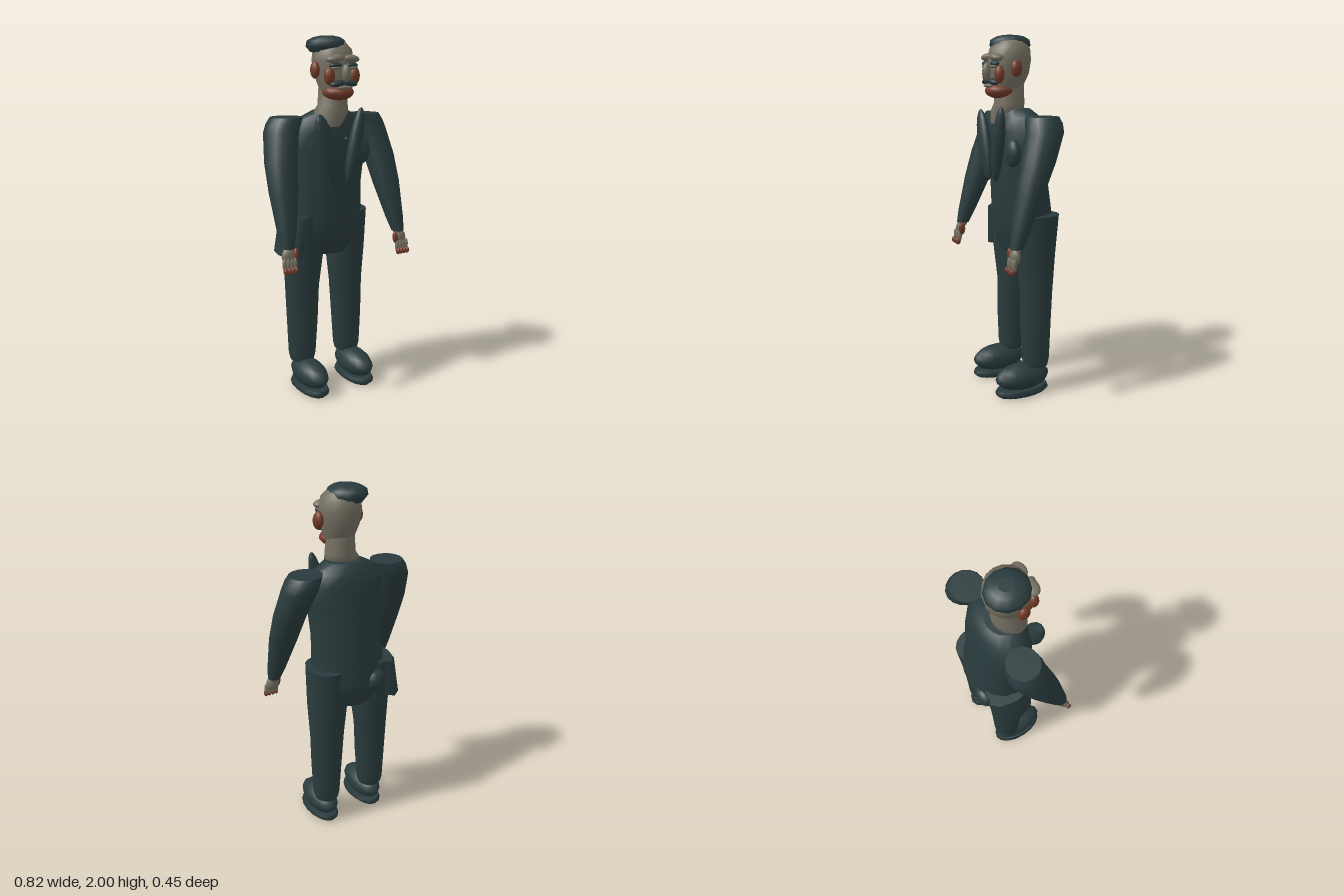
import * as THREE from 'three';

const cloth = new THREE.MeshStandardMaterial({ color: 0x2a3b3d, name: 'dark cloth' });
const skin = new THREE.MeshStandardMaterial({ color: 0x757062, name: 'grey skin' });
const rust = new THREE.MeshStandardMaterial({ color: 0x733a28, name: 'rust' });

// Smooth body through elliptical rings [y, cx, cz, rx, rz], listed bottom to top, with flat caps
function loft(rings, sides = 16) {
  const pos = [], idx = [];
  const addRing = ([y, cx, cz, rx, rz]) => {
    const start = pos.length / 3;
    for (let i = 0; i < sides; i++) {
      const a = (i / sides) * Math.PI * 2;
      pos.push(cx + rx * Math.sin(a), y, cz + rz * Math.cos(a));
    }
    return start;
  };
  rings.forEach(addRing);
  for (let j = 0; j < rings.length - 1; j++) {
    for (let i = 0; i < sides; i++) {
      const n = (i + 1) % sides;
      const a = j * sides + i, b = j * sides + n;
      idx.push(a, b, b + sides, a, b + sides, a + sides);
    }
  }
  [rings[0], rings[rings.length - 1]].forEach((ring, top) => {
    const s = addRing(ring), c = pos.length / 3;
    pos.push(ring[1], ring[0], ring[2]);
    for (let i = 0; i < sides; i++) {
      const a = s + i, b = s + ((i + 1) % sides);
      if (top) idx.push(c, a, b); else idx.push(c, b, a);
    }
  });
  const g = new THREE.BufferGeometry();
  g.setAttribute('position', new THREE.Float32BufferAttribute(pos, 3));
  g.setIndex(idx);
  g.computeVertexNormals();
  return g;
}

function add(group, name, geometry, material) {
  const mesh = new THREE.Mesh(geometry, material);
  mesh.name = name;
  group.add(mesh);
  return mesh;
}

function blob(group, name, material, center, radii, rotZ = 0, segments = 14) {
  const mesh = add(group, name, new THREE.SphereGeometry(1, segments, 10), material);
  mesh.position.set(...center);
  mesh.scale.set(...radii);
  mesh.rotation.z = rotZ;
  return mesh;
}

// Same rings on either side of the body
const sided = (rings, s) => rings.map(([y, cx, ...rest]) => [y, cx * s, ...rest]);

function buildTorso(g) {
  add(g, 'jacket', loft([
    [0.81, 0, -0.06, 0.13, 0.12], [0.87, 0, -0.06, 0.18, 0.145], [0.95, 0, -0.055, 0.21, 0.16],
    [1.04, 0, -0.045, 0.215, 0.158], [1.2, 0, -0.03, 0.205, 0.15], [1.4, 0, -0.018, 0.225, 0.143],
    [1.5, 0, -0.015, 0.22, 0.13], [1.57, 0, -0.015, 0.18, 0.115], [1.61, 0, 0, 0.1, 0.085],
  ]), cloth);
  // lapels
  blob(g, 'rightLapel', cloth, [-0.095, 1.41, 0.135], [0.056, 0.2, 0.034], 0.27, 12);
  blob(g, 'leftLapel', cloth, [0.077, 1.425, 0.135], [0.04, 0.208, 0.034], -0.2, 12);
  // chest details
  blob(g, 'button', cloth, [0.03, 1.46, 0.126], [0.014, 0.014, 0.012], 0, 8);
  blob(g, 'chestPocket', cloth, [0.15, 1.385, 0.082], [0.055, 0.075, 0.04], 0, 10);
  // skewed jacket tail over the right hip
  add(g, 'jacketTail', loft([
    [0.81, -0.225, -0.07, 0.07, 0.13], [1.04, -0.19, -0.065, 0.062, 0.14],
  ], 8), cloth);
  blob(g, 'backPouch', cloth, [-0.1, 0.94, -0.185], [0.07, 0.065, 0.046], 0, 10);
}

function buildHead(g) {
  add(g, 'neck', loft([
    [1.53, -0.035, 0.06, 0.06, 0.06], [1.6, -0.015, 0.035, 0.1, 0.088],
    [1.64, 0, 0.03, 0.083, 0.084], [1.75, 0, 0.03, 0.075, 0.08],
  ]), skin);
  add(g, 'skull', loft([
    [1.67, 0, 0.065, 0.05, 0.06], [1.72, 0, 0.05, 0.08, 0.09], [1.8, 0, 0.035, 0.1, 0.115],
    [1.87, 0, 0.03, 0.112, 0.12], [1.93, 0, 0.025, 0.105, 0.11], [1.97, 0, 0.02, 0.07, 0.075],
  ]), skin);
  // low-sided cap of hair, set off to one side
  add(g, 'hair', loft([
    [1.915, -0.03, 0.01, 0.08, 0.09], [1.945, -0.03, 0.01, 0.106, 0.113],
    [1.975, -0.03, 0.01, 0.1, 0.108], [1.993, -0.025, 0.01, 0.07, 0.075], [2, -0.025, 0.01, 0.035, 0.04],
  ], 12), cloth);
  // face
  blob(g, 'beard', rust, [0, 1.708, 0.085], [0.086, 0.043, 0.083]);
  blob(g, 'lips', skin, [0, 1.735, 0.156], [0.045, 0.011, 0.016]);
  blob(g, 'nose', skin, [0, 1.81, 0.162], [0.021, 0.045, 0.026]);
  for (const s of [-1, 1]) {
    blob(g, 'moustache', cloth, [s * 0.038, 1.757, 0.142], [0.045, 0.017, 0.025], -s * 0.15);
    blob(g, 'cheek', rust, [s * 0.077, 1.795, 0.125], [0.03, 0.048, 0.027]);
    blob(g, 'ear', rust, [s * 0.118, 1.825, 0.045], [0.024, 0.045, 0.032]);
    blob(g, 'brow', skin, [s * 0.05, 1.883, 0.13], [0.05, 0.021, 0.036], -s * 0.1);
    blob(g, 'eye', cloth, [s * 0.05, 1.85, 0.14], [0.036, 0.015, 0.022]);
    blob(g, 'lowerEyelid', skin, [s * 0.05, 1.836, 0.145], [0.032, 0.009, 0.02]);
  }
}

function buildArm(g, s) {
  add(g, 'sleeve', loft(sided([
    [0.92, 0.357, 0.165, 0.036, 0.036], [1.0, 0.349, 0.14, 0.052, 0.05],
    [1.2, 0.33, 0.075, 0.08, 0.075], [1.35, 0.315, 0.02, 0.088, 0.092],
    [1.5, 0.282, -0.035, 0.095, 0.103], [1.545, 0.265, -0.04, 0.095, 0.1], [1.58, 0.247, -0.04, 0.09, 0.088],
  ], s)), cloth);
  // hand
  blob(g, 'wrist', skin, [s * 0.357, 0.92, 0.168], [0.03, 0.03, 0.028]);
  blob(g, 'palm', skin, [s * 0.362, 0.88, 0.178], [0.038, 0.045, 0.026]);
  blob(g, 'thumb', rust, [s * 0.325, 0.885, 0.188], [0.015, 0.036, 0.017], s * 0.1, 10);
  for (let i = 0; i < 4; i++) {
    const x = s * (0.332 + i * 0.021);
    blob(g, 'finger', skin, [x, 0.84, 0.197], [0.011, 0.035, 0.013], 0, 8);
    blob(g, 'fingertip', rust, [x, 0.807, 0.208], [0.011, 0.019, 0.016], 0, 8);
  }
}

function buildLeg(g, s) {
  add(g, 'trouserLeg', loft(sided([
    [0.16, 0.153, -0.06, 0.07, 0.07], [0.2, 0.153, -0.06, 0.08, 0.078], [0.4, 0.15, -0.06, 0.091, 0.086],
    [0.6, 0.147, -0.065, 0.1, 0.09], [0.81, 0.139, -0.06, 0.116, 0.113], [1.04, 0.155, -0.06, 0.1, 0.13],
  ], s)), cloth);
  blob(g, 'shoe', cloth, [s * 0.153, 0.102, 0.025], [0.084, 0.078, 0.165]);
  add(g, 'sole', loft(sided([
    [0, 0.153, 0.027, 0.07, 0.145], [0.02, 0.153, 0.027, 0.09, 0.165], [0.042, 0.153, 0.027, 0.08, 0.155],
  ], s)), cloth);
}

export function createModel() {
  const model = new THREE.Group();
  model.name = 'man in suit';
  const part = (name, build, ...args) => {
    const group = new THREE.Group();
    group.name = name;
    build(group, ...args);
    model.add(group);
  };
  part('torso', buildTorso);
  part('head', buildHead);
  for (const [side, s] of [['left', 1], ['right', -1]]) {
    part(side + 'Arm', buildArm, s);
    part(side + 'Leg', buildLeg, s);
  }
  return model;
}
